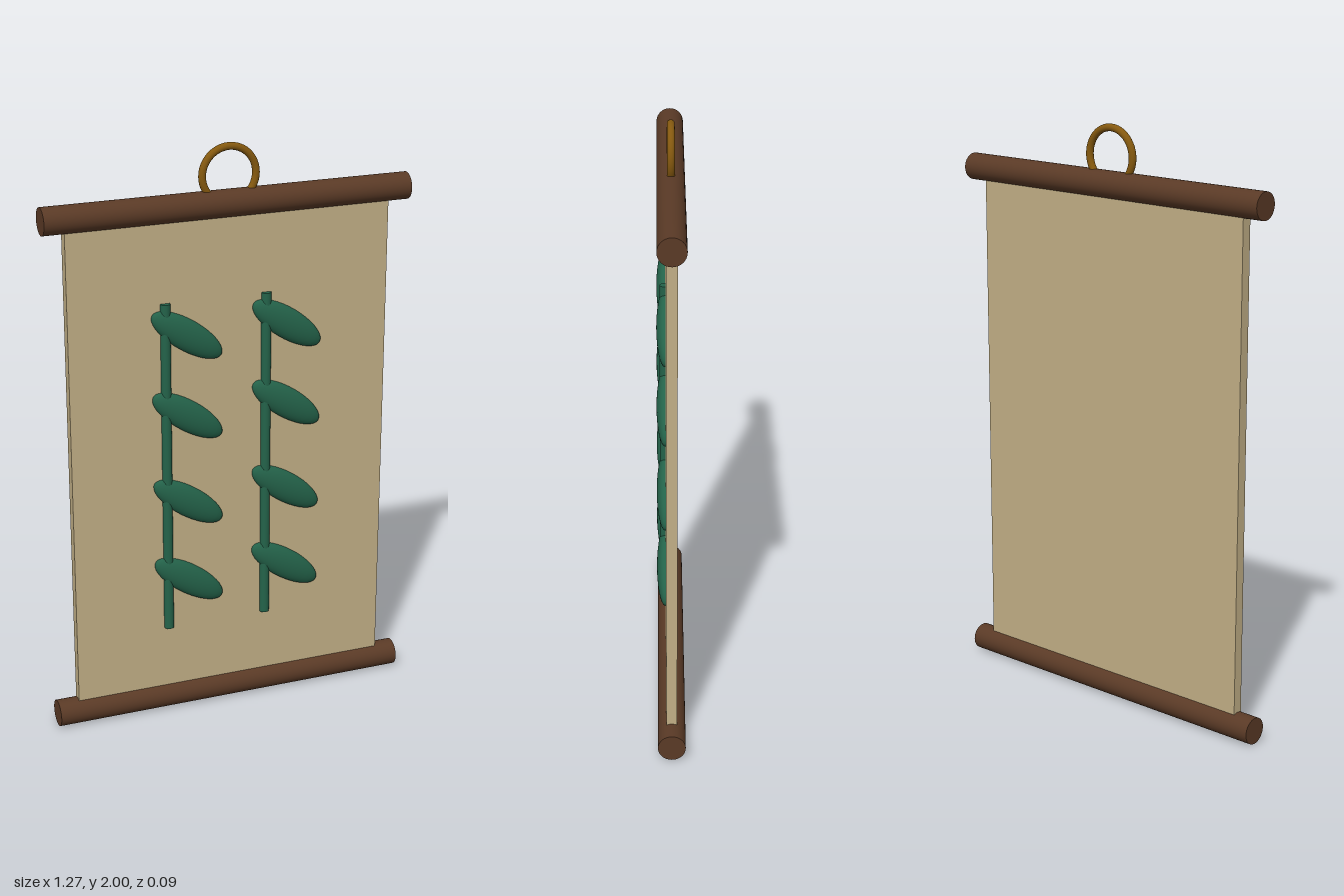
import * as THREE from 'three';

const material = (name, color, side = THREE.FrontSide) => {
  const m = new THREE.MeshStandardMaterial({ color, side });
  m.name = name;
  return m;
};

export function createModel() {
  const wood = material('dark wood', 0x5a3a26);
  const cloth = material('parchment', 0xc2af86);
  const green = material('leaf green', 0x24634a);
  const brass = material('brass', 0x85590f);

  const root = new THREE.Group();
  root.name = 'hangingScroll';
  const Z = -0.002; // centre plane of the scroll

  const add = (name, geometry, mat, x, y, z, parent = root) => {
    const mesh = new THREE.Mesh(geometry, mat);
    mesh.name = name;
    mesh.position.set(x, y, z);
    parent.add(mesh);
    return mesh;
  };

  // Cloth panel
  add('panel', new THREE.BoxGeometry(1.125, 1.754, 0.036), cloth, 0, 0.923, Z);

  // Rods along the top and bottom edges
  const rod = new THREE.CylinderGeometry(0.046, 0.046, 1.27, 32).rotateZ(Math.PI / 2);
  add('topRod', rod, wood, 0, 1.8, Z);
  add('bottomRod', rod, wood, 0, 0.046, Z);

  // Hanging ring, sunk into the top rod
  add('hangingRing', new THREE.TorusGeometry(0.093, 0.0125, 16, 48), brass, 0, 1.8945, Z);

  // Two plant stalks, each with four slanted leaves
  const stem = new THREE.CylinderGeometry(0.017, 0.017, 1.175, 20);
  const leaf = new THREE.SphereGeometry(1, 28, 18).scale(0.146, 0.052, 0.028).rotateZ(-0.6);
  for (const x of [-0.231, 0.124]) {
    const stalk = new THREE.Group();
    stalk.name = 'stalk';
    stalk.position.set(x, 0, Z + 0.02);
    root.add(stalk);
    add('stem', stem, green, 0, 0.902, 0, stalk);
    for (const y of [0.487, 0.778, 1.09, 1.373]) add('leaf', leaf, green, 0.075, y, 0, stalk);
  }
  return root;
}
